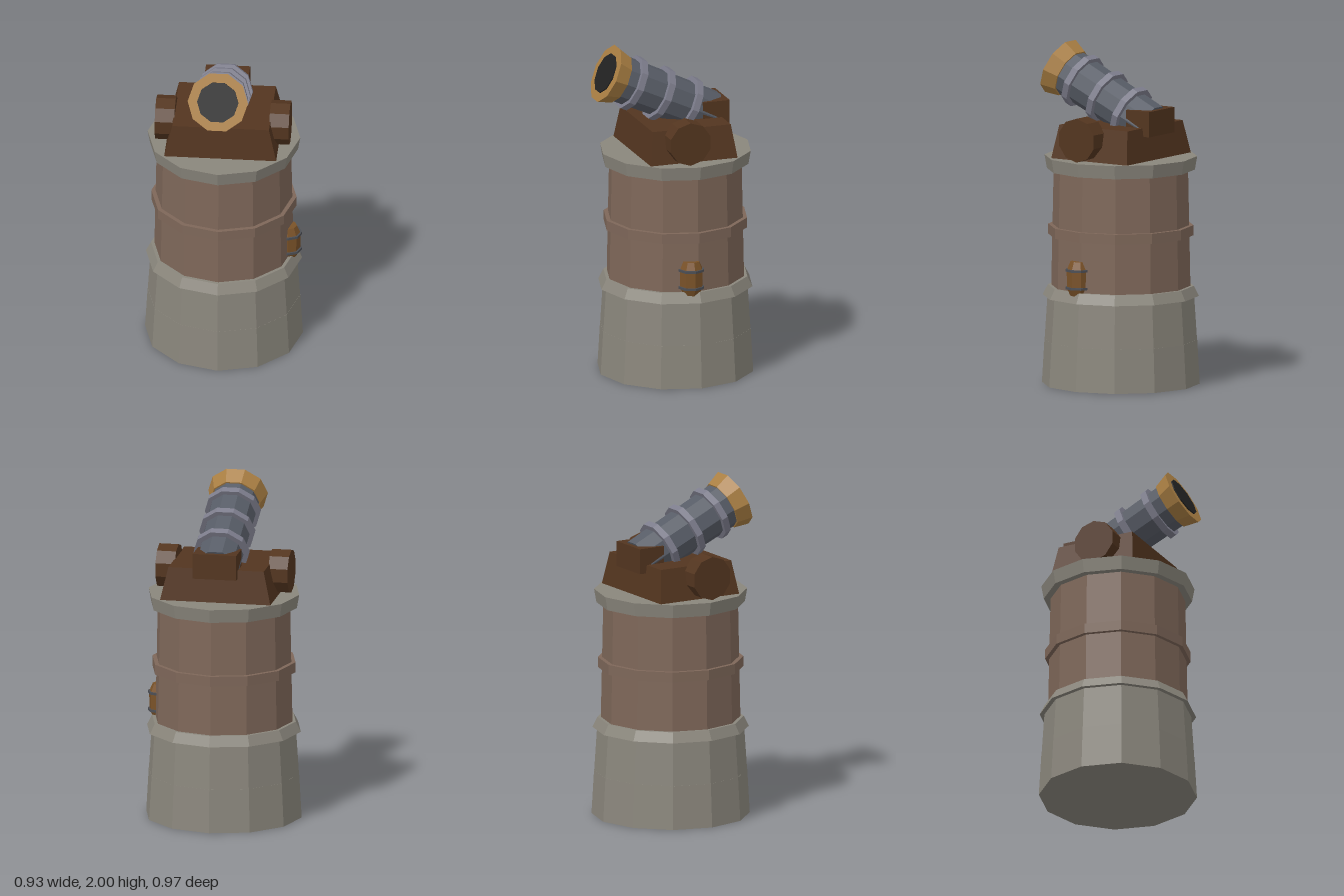
import * as THREE from 'three';

const material = (name, color) => {
  const m = new THREE.MeshStandardMaterial({ color });
  m.name = name;
  return m;
};

// Facet a geometry so every face has its own flat normal
function facet(geometry) {
  const g = geometry.index ? geometry.toNonIndexed() : geometry;
  g.computeVertexNormals();
  return g;
}

function add(parent, name, geometry, mat, x = 0, y = 0, z = 0) {
  const mesh = new THREE.Mesh(facet(geometry), mat);
  mesh.name = name;
  mesh.position.set(x, y, z);
  parent.add(mesh);
  return mesh;
}

// Faceted drum standing between heights y0 and y1
function drum(r0, r1, y0, y1, sides, turn = 0) {
  return new THREE.CylinderGeometry(r1, r0, y1 - y0, sides)
    .rotateY(turn)
    .translate(0, (y0 + y1) / 2, 0);
}

export function createModel() {
  const stone = material('stone', 0x8a867c);
  const brick = material('brick', 0x7e6759);
  const wood = material('dark wood', 0x53351f);
  const kegWood = material('keg wood', 0x7a5228);
  const iron = material('gun iron', 0x575c66);
  const hoop = material('hoop metal', 0x7d7d8c);
  const brass = material('brass', 0xaa7f43);
  const black = material('bore black', 0x222222);
  const darkIron = material('keg hoop iron', 0x4c4e54);

  const model = new THREE.Group();
  model.name = 'cannonTower';

  // Twelve-sided tower, stacked from the ground up
  const tower = new THREE.Group();
  tower.name = 'tower';
  tower.position.z = -0.022;
  model.add(tower);
  const tiers = [
    ['footing', 0.465, 0.45, 0, 0.26, stone],
    ['lowerWall', 0.449, 0.432, 0.26, 0.52, stone],
    ['stoneLedge', 0.46, 0.43, 0.52, 0.58, stone],
    ['upperWall', 0.41, 0.396, 0.58, 1.27, brick],
    ['wallBand', 0.428, 0.428, 0.88, 0.94, brick],
    ['capStone', 0.436, 0.45, 1.27, 1.35, stone],
  ];
  for (const [name, r0, r1, y0, y1, mat] of tiers) {
    add(tower, name, drum(r0, r1, y0, y1, 12), mat);
  }

  // Carriage base with sloping sides
  const base = new THREE.BoxGeometry(0.66, 0.195, 0.54);
  const p = base.attributes.position;
  for (let i = 0; i < p.count; i++) {
    if (p.getY(i) > 0) p.setXYZ(i, p.getX(i) * 0.864, p.getY(i), p.getZ(i) * 0.9);
  }
  add(model, 'carriageBase', base, wood, 0, 1.4475, -0.023);

  // Ten-sided side wheels and the block behind the gun
  for (const side of [-1, 1]) {
    const wheel = new THREE.CylinderGeometry(0.13, 0.13, 0.115, 10)
      .rotateY(Math.PI / 10)
      .rotateZ(Math.PI / 2);
    add(model, side > 0 ? 'leftWheel' : 'rightWheel', wheel, wood, side * 0.3375, 1.48, 0.022);
  }
  add(model, 'breechBlock', new THREE.BoxGeometry(0.26, 0.15, 0.165), wood, 0, 1.57, -0.232);

  // Gun: local y runs along the bore, with the muzzle face at y = 0
  const gun = new THREE.Group();
  gun.name = 'gun';
  gun.position.set(0, 1.844, 0.41);
  gun.rotation.x = THREE.MathUtils.degToRad(65);
  model.add(gun);
  const turn = Math.PI / 10;
  add(gun, 'gunBarrel', drum(0.132, 0.142, -0.714, -0.05, 10, turn), iron);
  add(gun, 'muzzle', drum(0.15, 0.178, -0.09, 0, 10, turn), brass);
  add(gun, 'bore', drum(0.122, 0.122, -0.002, 0.007, 10, turn), black);
  for (const s of [0.174, 0.364, 0.554]) {
    add(gun, 'gunHoop', drum(0.165, 0.165, -s - 0.02, -s + 0.02, 10, turn), hoop);
  }

  // Small keg fixed to the left side of the tower
  const keg = new THREE.Group();
  keg.name = 'keg';
  keg.position.set(0.383, 0.662, 0.014);
  model.add(keg);
  const profile = [[0, -0.102], [0.05, -0.102], [0.07, -0.055], [0.072, 0.05], [0.05, 0.102], [0, 0.102]]
    .map(([r, y]) => new THREE.Vector2(r, y));
  add(keg, 'kegBody', new THREE.LatheGeometry(profile, 8), kegWood);
  for (const y of [-0.055, 0.05]) {
    add(keg, 'kegHoop', drum(0.08, 0.08, y - 0.007, y + 0.007, 8), darkIron);
  }

  return model;
}
